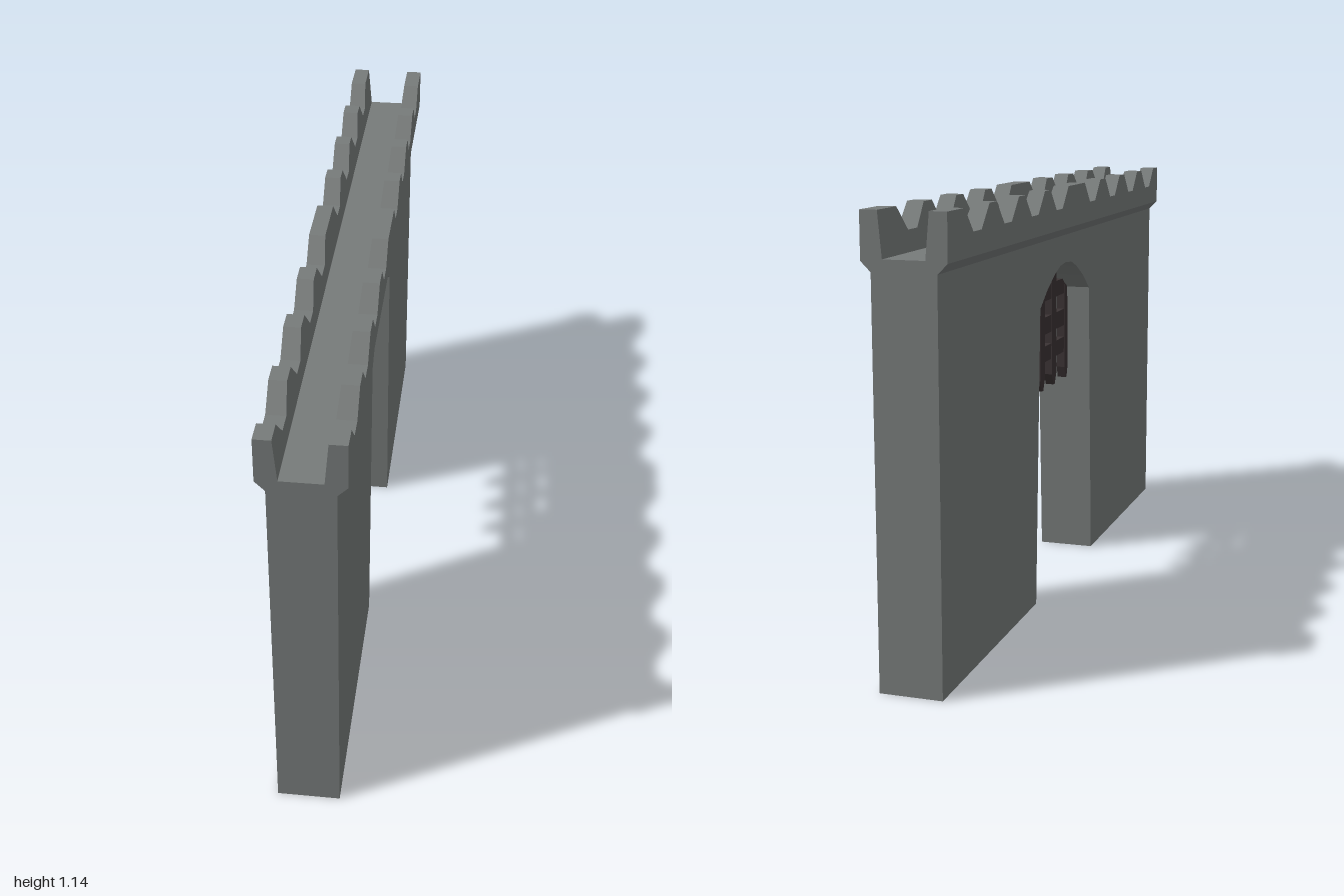
import * as THREE from 'three';

export function createModel() {
  const group = new THREE.Group();
  const stone = new THREE.MeshStandardMaterial({ color: 0x777b7a });
  stone.name = 'stone grey';
  const iron = new THREE.MeshStandardMaterial({ color: 0x3b3334 });
  iron.name = 'dark iron';

  const shapeOf = (pts) => new THREE.Shape(pts.map(([a, b]) => new THREE.Vector2(a, b)));
  const extrude = (pts, depth) => {
    const g = new THREE.ExtrudeGeometry(shapeOf(pts), { depth, bevelEnabled: false });
    g.translate(0, 0, -depth / 2);
    return g;
  };
  // outline given as [z, y], thickness along x
  const slab = (pts, depth) => extrude(pts, depth).rotateY(-Math.PI / 2);
  const add = (name, geometry, material) => {
    const mesh = new THREE.Mesh(geometry, material);
    mesh.name = name;
    group.add(mesh);
    return mesh;
  };

  // wall with arched gateway
  const arch = [[-0.247, 0.82], [-0.18, 0.865], [-0.11, 0.9], [-0.06, 0.917], [-0.005, 0.922],
    [0.05, 0.917], [0.1, 0.9], [0.17, 0.865], [0.235, 0.82]];
  add('wall', slab([[-1, 0], [-0.285, 0], ...arch, [0.275, 0], [1, 0], [1, 1], [-1, 1]], 0.16), stone);

  // flared cornice carrying the walkway
  add('walkway', extrude([[-0.08, 1], [0.08, 1], [0.105, 1.025], [0.105, 1.03],
    [-0.105, 1.03], [-0.105, 1.025]], 2), stone);

  // battlement outline: each notch starts at its z and takes three equal steps
  const step = 0.056, top = 1.14, low = 1.082;
  const crest = [[-1, top]];
  for (const z of [-0.89, -0.67, -0.453, -0.235, 0.097, 0.323, 0.548, 0.773]) {
    crest.push([z, top], [z + step, low], [z + 2 * step, low], [z + 3 * step, top]);
  }
  crest.push([1, top]);
  const outline = [[-1, 1.03], ...crest, [1, 1.03]].reverse();
  for (const side of [1, -1]) {
    const g = slab(outline, 0.05);
    const p = g.attributes.position;
    // inner face leans outward as it rises
    for (let i = 0; i < p.count; i++) {
      const inner = 0.052 + (p.getY(i) - 1.03) * 0.09;
      p.setX(i, side * (p.getX(i) * side > 0 ? 0.105 : inner));
    }
    g.computeVertexNormals();
    add(side > 0 ? 'leftParapet' : 'rightParapet', g, stone);
  }

  // portcullis: pointed uprights and cross bars
  const uprights = [[0.225, 0.034, 0.83], [0.103, 0.046, 0.905], [-0.01, 0.046, 0.93],
    [-0.132, 0.046, 0.9], [-0.24, 0.034, 0.83]];
  for (const [z, w, h] of uprights) {
    const r = w / 2;
    add('gateUpright', slab([[z - 0.006, 0.545], [z + 0.006, 0.545], [z + r, 0.578],
      [z + r, h], [z - r, h], [z - r, 0.578]], 0.024), iron);
  }
  for (const [y, h] of [[0.826, 0.046], [0.731, 0.05], [0.648, 0.046]]) {
    const bar = add('gateCrossBar', new THREE.BoxGeometry(0.02, h, 0.475), iron);
    bar.position.set(0, y, -0.007);
  }
  return group;
}
